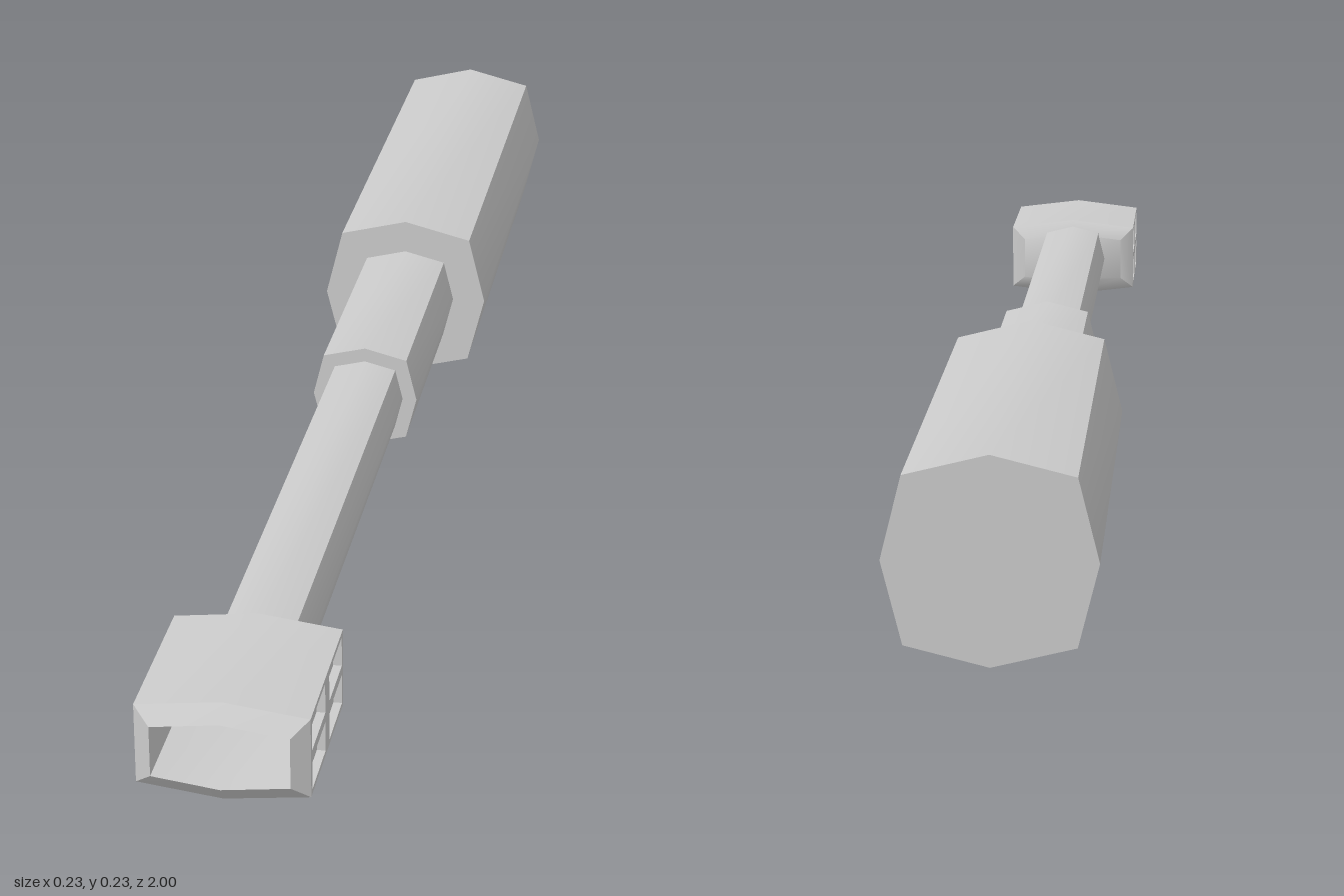
import * as THREE from 'three';
import { toCreasedNormals } from 'three/addons/utils/BufferGeometryUtils.js';

const AXIS_Y = 0.117;
const material = new THREE.MeshStandardMaterial({ color: 0xcccccc });

// Joins equal-sized counterclockwise rings of [x, y, z] and caps both ends;
// skip(ring, side) leaves a quad open.
function loft(rings, skip = () => false) {
  const pos = [];
  const tri = (a, b, c) => pos.push(...a, ...b, ...c);
  const n = rings[0].length;
  for (let i = 0; i < rings.length - 1; i++) {
    for (let j = 0; j < n; j++) {
      if (skip(i, j)) continue;
      const k = (j + 1) % n;
      tri(rings[i][j], rings[i][k], rings[i + 1][k]);
      tri(rings[i][j], rings[i + 1][k], rings[i + 1][j]);
    }
  }
  const first = rings[0], last = rings[rings.length - 1];
  for (let j = 1; j < n - 1; j++) {
    tri(first[0], first[j + 1], first[j]);
    tri(last[0], last[j], last[j + 1]);
  }
  const geo = new THREE.BufferGeometry();
  geo.setAttribute('position', new THREE.Float32BufferAttribute(pos, 3));
  return toCreasedNormals(geo, 0.65);
}

function part(name, geo) {
  const mesh = new THREE.Mesh(geo, material);
  mesh.name = name;
  return mesh;
}

// Square with each side bulged to a shallow ridge
function rodRing(r, z) {
  const c = r * 0.8;
  return [[r, 0], [c, c], [0, r], [-c, c], [-r, 0], [-c, -c], [0, -r], [c, -c]]
    .map(([x, y]) => [x, y, z]);
}

// Six-sided head section: flat sides, ridged top and bottom
function headRing(w, side, mid, z) {
  return [[w, -side], [w, side], [0, mid], [-w, side], [-w, -side], [0, -mid]]
    .map(([x, y]) => [x, y, z]);
}

// Side wall with a two-by-two set of recessed windows, facing +x
function sidePanel(halfLength, halfHeight, depth) {
  const rect = (Type, x0, y0, x1, y1) => {
    const s = new Type();
    s.moveTo(x0, y0).lineTo(x1, y0).lineTo(x1, y1).lineTo(x0, y1).closePath();
    return s;
  };
  const frame = rect(THREE.Shape, -halfLength, -halfHeight, halfLength, halfHeight);
  for (const x of [-0.0925, 0.0125]) {
    for (const y of [-0.043, 0.006]) {
      frame.holes.push(rect(THREE.Path, x, y, x + 0.08, y + 0.037));
    }
  }
  const group = new THREE.Group();
  const rim = new THREE.ExtrudeGeometry(frame, { depth, bevelEnabled: false });
  group.add(part('windowFrame', rim.rotateY(Math.PI / 2)));
  const back = new THREE.PlaneGeometry(halfLength * 2, halfHeight * 2);
  group.add(part('windowBacking', back.rotateY(Math.PI / 2)));
  return group;
}

export function createModel() {
  const model = new THREE.Group();
  model.name = 'telescopicTool';
  const body = new THREE.Group();
  body.name = 'body';
  body.position.y = AXIS_Y;
  model.add(body);

  // Stepped handle and shaft
  for (const [name, r, z0, z1] of [
    ['handle', 0.117, -1, -0.3],
    ['collar', 0.071, -0.3, 0.055],
    ['shaft', 0.052, 0.055, 0.775],
  ]) {
    body.add(part(name, loft([rodRing(r, z0), rodRing(r, z1)])));
  }

  // Hollow head with chamfered ends, open to the front
  const head = new THREE.Group();
  head.name = 'head';
  const shell = loft([
    headRing(0.078, 0.031, 0.041, 0.77),
    headRing(0.098, 0.049, 0.061, 0.785),
    headRing(0.098, 0.049, 0.061, 0.985),
    headRing(0.078, 0.031, 0.041, 1),
    headRing(0.078, 0.031, 0.041, 0.8),
  ], (ring, side) => ring === 1 && (side === 0 || side === 3));
  head.add(part('headShell', shell));

  // Windowed side walls
  for (const s of [1, -1]) {
    const panel = sidePanel(0.1, 0.049, 0.01);
    panel.name = s > 0 ? 'leftPanel' : 'rightPanel';
    panel.position.set(s * 0.088, 0, 0.885);
    if (s < 0) panel.rotation.y = Math.PI;
    head.add(panel);
  }
  body.add(head);
  return model;
}
